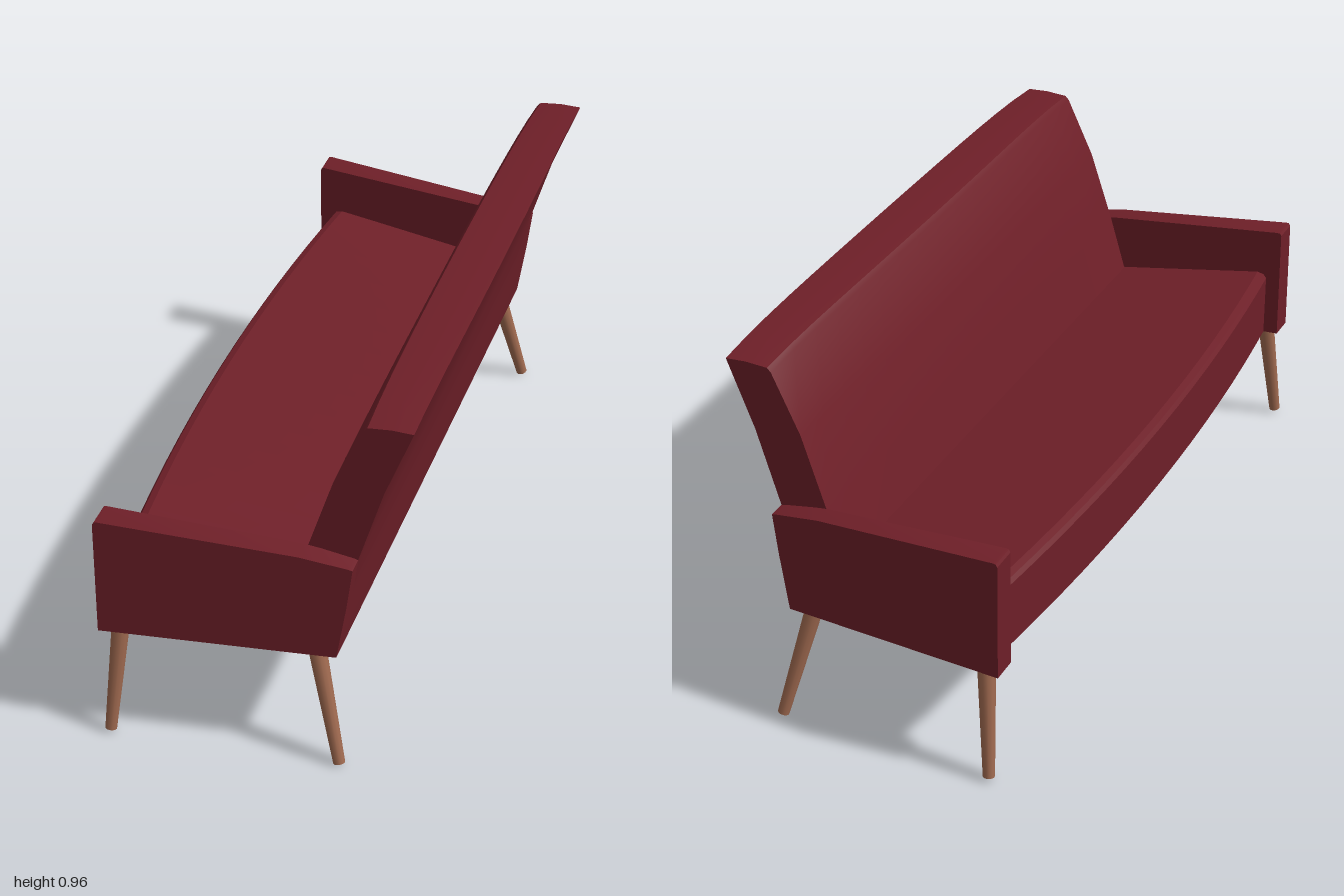
import * as THREE from 'three';
import { toCreasedNormals } from 'three/addons/utils/BufferGeometryUtils.js';

const fabric = new THREE.MeshStandardMaterial({ color: 0x6e1f28 });
const wood = new THREE.MeshStandardMaterial({ color: 0xa06a50 });

// Skins a list of [x, y, z] rings (anticlockwise seen from +z, running from -z to +z)
function loft(name, rings) {
  const n = rings[0].length, last = (rings.length - 1) * n, index = [];
  for (let i = 0; i < rings.length - 1; i++) {
    for (let k = 0; k < n; k++) {
      const a = i * n + k, b = i * n + (k + 1) % n;
      index.push(a, b, a + n, b, b + n, a + n);
    }
  }
  const outline = rings[0].map(([x, y]) => new THREE.Vector2(x, y));
  for (const [a, b, c] of THREE.ShapeUtils.triangulateShape(outline, [])) {
    index.push(c, b, a, last + a, last + b, last + c);
  }
  const geometry = new THREE.BufferGeometry();
  geometry.setAttribute('position', new THREE.Float32BufferAttribute(rings.flat(2), 3));
  geometry.setIndex(index);
  const mesh = new THREE.Mesh(toCreasedNormals(geometry, 0.35), fabric);
  mesh.name = name;
  return mesh;
}

// Evenly spaced values from -1 to 1
const span = (count) => Array.from({ length: count + 1 }, (_, i) => (2 * i) / count - 1);

// Seat with a bowed front edge, narrowing towards the back
function createSeat() {
  return loft('seat', span(16).map((t) => {
    const bow = 0.052 * (1 - t * t);
    return [
      [-0.337 - bow, 0.3], [0.15, 0.3], [0.15, 0.42],
      [0.085, 0.43], [-0.312 - bow, 0.488], [-0.33 - bow, 0.483], [-0.338 - bow, 0.472],
    ].map(([x, y]) => [x, y, t * (0.94 - 0.09 * (x + 0.38))]);
  }));
}

// Reclined backrest, slightly crowned along the top and front
function createBack() {
  return loft('backrest', span(16).map((t) => {
    const crown = 1 - t * t;
    const bulge = 0.009 * crown;
    const top = 0.955 - 0.015 * t ** 6;
    return [
      [0.04, 0.3], [0.21, 0.3], [0.235, 0.45], [0.25, 0.56],
      [0.313 + 0.004 * crown, 0.76], [0.384 + 0.006 * crown, top - 0.003],
      [0.33, top], [0.272 - bulge, top - 0.004], [0.262 - bulge, top - 0.015],
      [0.189 - bulge, 0.77], [0.126 - bulge, 0.58], [0.082, 0.43],
    ].map(([x, y]) => [x, y, t * 0.872]);
  }));
}

// Solid armrest, splayed outwards towards the front
function createArm(side) {
  const profile = [
    [-0.38, 0.3], [0.21, 0.3], [0.235, 0.45], [0.25, 0.56],
    [0.24, 0.563], [0.12, 0.583], [-0.368, 0.62], [-0.376, 0.619], [-0.38, 0.612],
  ];
  const inner = profile.map(([x, y]) => [x, y, side * (0.907 - 0.065 * (x + 0.38))]);
  const outer = profile.map(([x, y]) => [x, y, side * (0.98 - 0.095 * (x + 0.38))]);
  return loft(side > 0 ? 'armPlusZ' : 'armMinusZ', side > 0 ? [inner, outer] : [outer, inner]);
}

// Tapered round leg between two points
function createLeg(name, top, bottom) {
  const a = new THREE.Vector3(...top), b = new THREE.Vector3(...bottom);
  const axis = a.clone().sub(b);
  const leg = new THREE.Mesh(new THREE.CylinderGeometry(0.023, 0.015, axis.length(), 12), wood);
  leg.position.copy(a).add(b).multiplyScalar(0.5);
  leg.quaternion.setFromUnitVectors(new THREE.Vector3(0, 1, 0), axis.normalize());
  leg.name = name;
  return leg;
}

export function createModel() {
  const sofa = new THREE.Group();
  sofa.name = 'sofa';
  sofa.add(createSeat(), createBack());
  for (const side of [-1, 1]) {
    sofa.add(
      createArm(side),
      createLeg('frontLeg', [-0.333, 0.31, side * 0.943], [-0.357, 0.009, side * 0.985]),
      createLeg('rearLeg', [0.153, 0.31, side * 0.898], [0.225, 0.004, side * 0.953]),
    );
  }
  return sofa;
}
